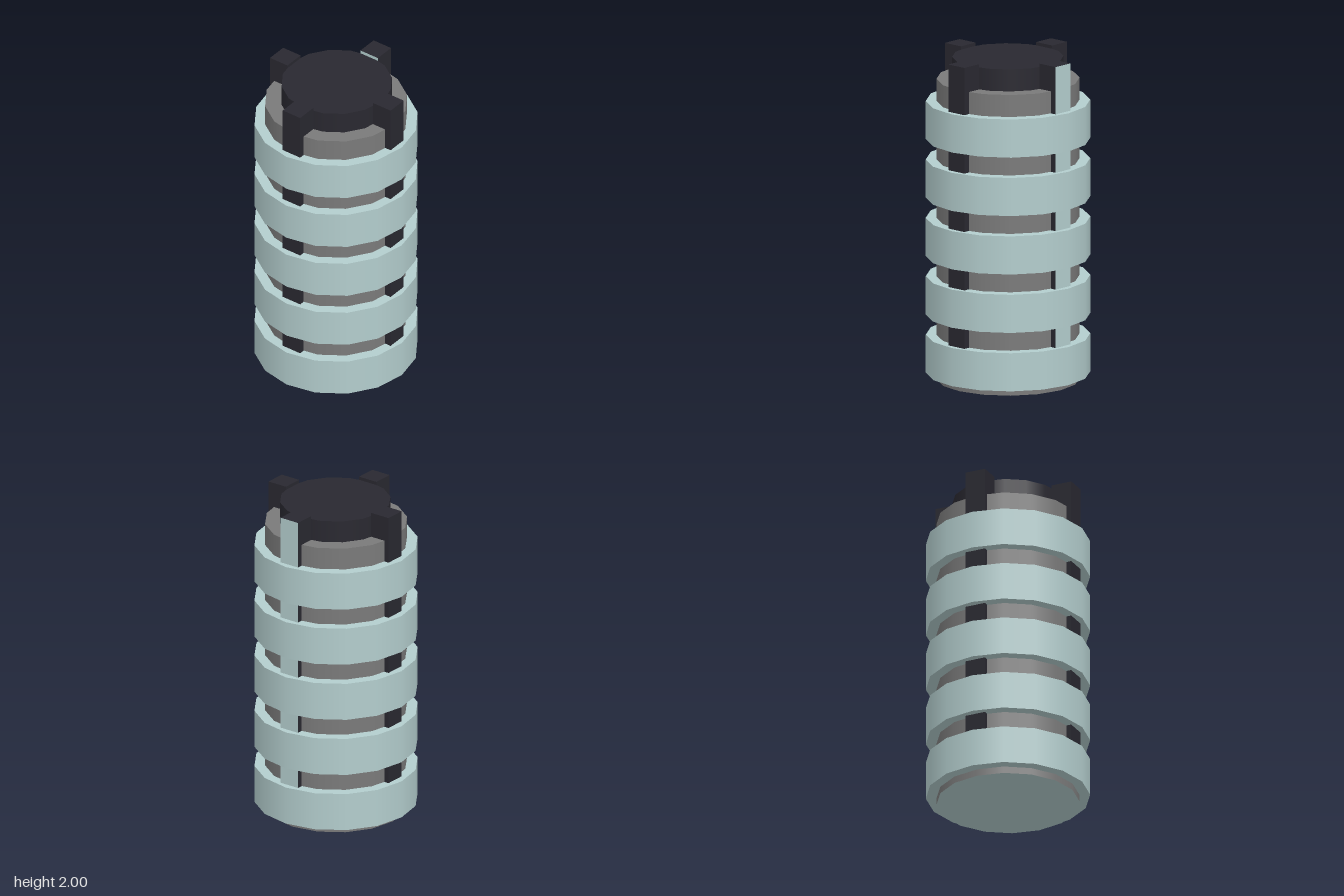
import * as THREE from 'three';

const SIDES = 16;
const paint = (color) => new THREE.MeshStandardMaterial({ color });

export function createModel() {
  const model = new THREE.Group();
  const teal = paint(0xb3cdcd);
  const grey = paint(0x7a7a7a);
  const dark = paint(0x292830);

  function add(name, geometry, material, x, y, z) {
    const mesh = new THREE.Mesh(geometry, material);
    mesh.name = name;
    mesh.position.set(x, y, z);
    model.add(mesh);
  }

  // Upright drum between two heights
  function drum(name, radius, y0, y1, material, x = 0, z = 0) {
    const geometry = new THREE.CylinderGeometry(radius, radius, y1 - y0, SIDES);
    add(name, geometry, material, x, (y0 + y1) / 2, z);
  }

  // Core: grey side and top, teal underside
  drum('core', 0.427, 0, 1.845, [grey, grey, teal]);

  // Top cap, sunk into the core
  drum('cap', 0.332, 1.8, 1.98, dark, 0.004, -0.002);

  // Five evenly spaced bands
  for (let i = 0; i < 5; i++) {
    const y = 0.042 + i * 0.3585;
    drum('band' + (i + 1), 0.491, y, y + 0.234, teal);
  }

  // Four vertical rails; the back one has teal front and back faces
  const bottom = 0.15, top = 2, width = 0.13, reach = 0.385;
  const rails = [
    ['frontRail', 0, 1, dark],
    ['backRail', 0, -1, [dark, dark, dark, dark, teal, teal]],
    ['leftRail', 1, 0, dark],
    ['rightRail', -1, 0, dark],
  ];
  for (const [name, dx, dz, material] of rails) {
    add(name, new THREE.BoxGeometry(width, top - bottom, width), material,
      0.005 + dx * reach, (top + bottom) / 2, -0.002 + dz * reach);
  }

  return model;
}
